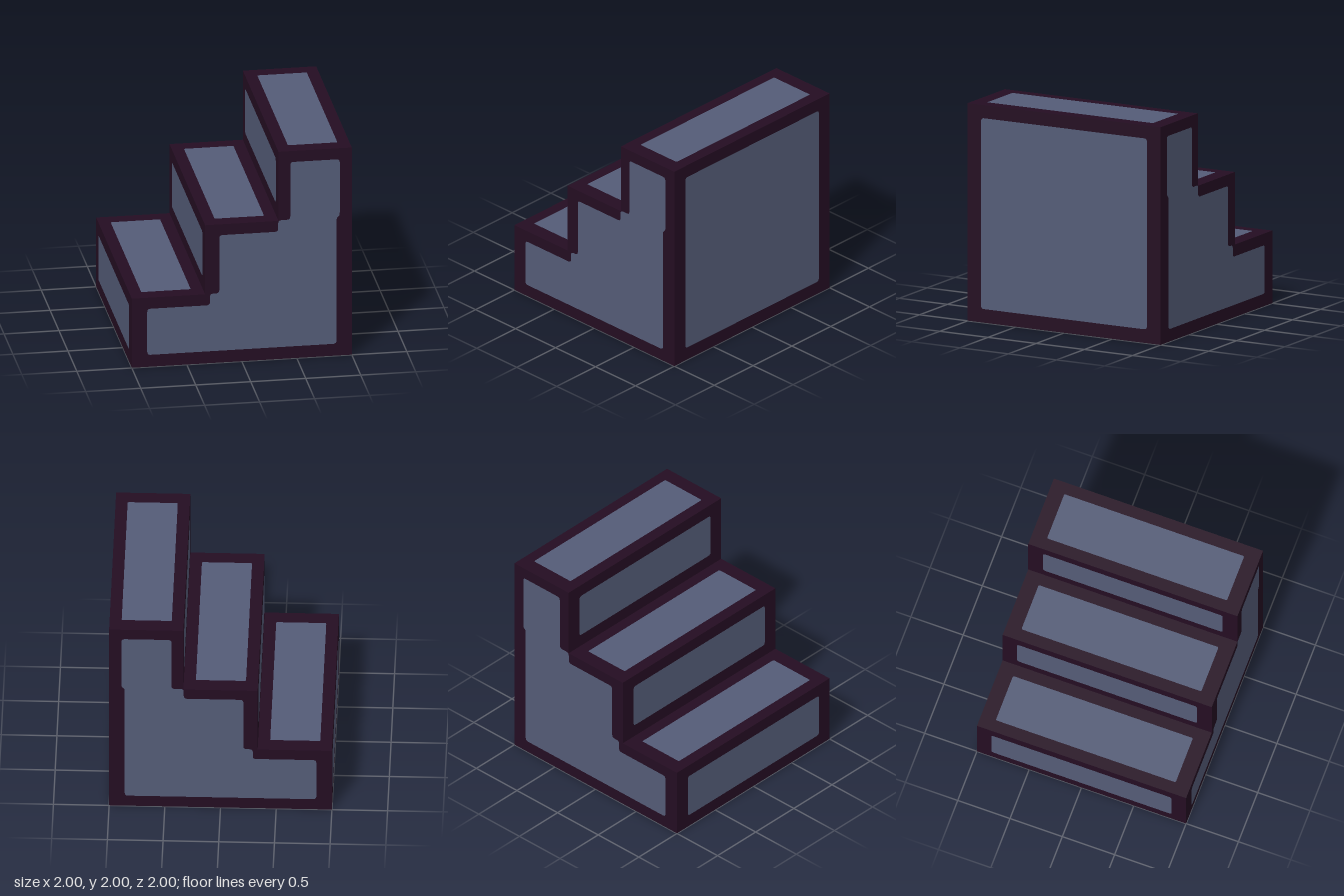
import * as THREE from 'three';

const frame = new THREE.MeshStandardMaterial({ color: 0x240d22 });
frame.name = 'dark plum frame';
const panel = new THREE.MeshStandardMaterial({ color: 0x545c77 });
panel.name = 'slate blue panel';

const LIFT = 0.002; // panels sit just proud of the frame
const STEP = 2 / 3;

// Closed outline with every corner rounded
function roundedShape(points, radius) {
  const pts = points.map(([x, y]) => new THREE.Vector2(x, y));
  const shape = new THREE.Shape();
  pts.forEach((p, i) => {
    const prev = pts[(i + pts.length - 1) % pts.length];
    const next = pts[(i + 1) % pts.length];
    const cut = (q) => {
      const d = q.clone().sub(p);
      return p.clone().addScaledVector(d.normalize(), Math.min(radius, p.distanceTo(q) / 2));
    };
    const a = cut(prev), b = cut(next);
    if (i === 0) shape.moveTo(a.x, a.y);
    else shape.lineTo(a.x, a.y);
    shape.quadraticCurveTo(p.x, p.y, b.x, b.y);
  });
  shape.closePath();
  return shape;
}

const rect = (x0, x1, y0, y1) => [[x0, y0], [x1, y0], [x1, y1], [x0, y1]];

export function createModel() {
  const group = new THREE.Group();
  group.name = 'stairs';

  function addPanel(name, points, radius, position, rotation) {
    const mesh = new THREE.Mesh(new THREE.ShapeGeometry(roundedShape(points, radius), 4), panel);
    mesh.name = name;
    mesh.position.set(...position);
    mesh.rotation.set(...rotation);
    group.add(mesh);
  }

  // Stepped body rising toward +x
  const profile = [[1, 0], [1, 2]];
  for (let i = 2; i >= 0; i--) {
    profile.push([-1 + i * STEP, (i + 1) * STEP], [-1 + i * STEP, i * STEP]);
  }
  const outline = new THREE.Shape(profile.map(([x, y]) => new THREE.Vector2(x, y)));
  const body = new THREE.Mesh(
    new THREE.ExtrudeGeometry(outline, { depth: 2, bevelEnabled: false }).translate(0, 0, -1), frame);
  body.name = 'stepBody';
  group.add(body);

  // Treads and risers
  for (let i = 0; i < 3; i++) {
    const x = -1 + i * STEP, y = i * STEP;
    addPanel('treadPanel', rect(-0.225, 0.225, -0.86, 0.86), 0.012,
      [x + STEP / 2, y + STEP + LIFT, 0], [-Math.PI / 2, 0, 0]);
    addPanel('riserPanel', rect(-0.86, 0.86, 0.12, 0.55), 0.03,
      [x - LIFT, y, 0], [0, -Math.PI / 2, 0]);
  }

  // Stepped side panels, front and back
  const side = [
    [-0.86, 0.115], [0.86, 0.115], [0.86, 1.33], [0.89, 1.35], [0.89, 1.895], [0.44, 1.895],
    [0.44, 1.34], [0.33, 1.34], [0.33, 1.23], [-0.205, 1.23], [-0.205, 0.67],
    [-0.29, 0.67], [-0.29, 0.56], [-0.86, 0.56],
  ];
  addPanel('frontPanel', side, 0.03, [0, 0, 1 + LIFT], [0, 0, 0]);
  addPanel('backPanel', side.map(([x, y]) => [-x, y]).reverse(), 0.03, [0, 0, -1 - LIFT], [0, Math.PI, 0]);

  // Tall end and underside
  addPanel('tallEndPanel', rect(-0.86, 0.86, 0.125, 1.88), 0.03, [1 + LIFT, 0, 0], [0, Math.PI / 2, 0]);
  addPanel('undersidePanel', rect(-0.86, 0.86, -0.86, 0.86), 0.03, [0, -LIFT, 0], [Math.PI / 2, 0, 0]);

  return group;
}
